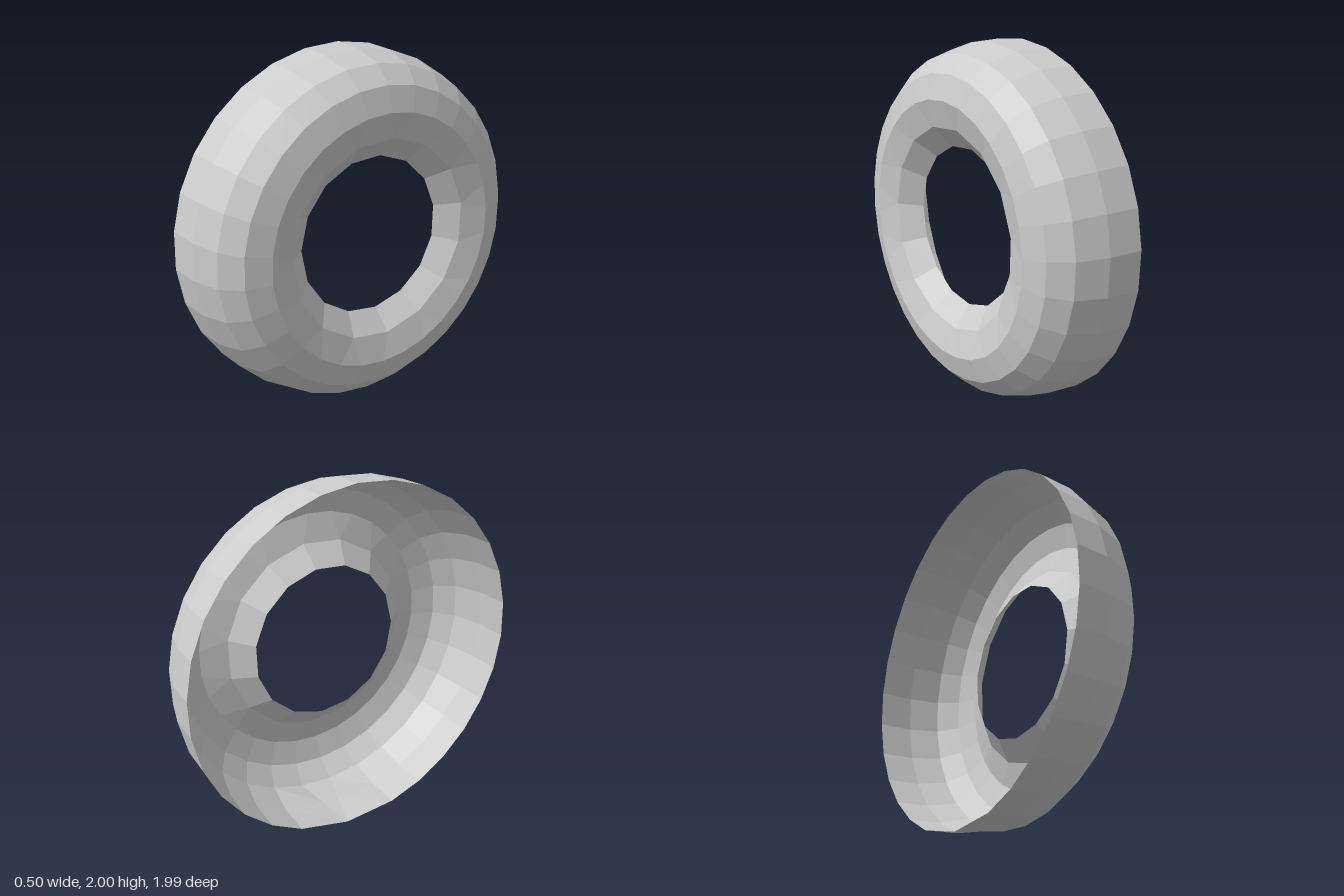
import * as THREE from 'three';

const COLS = 30, STEP = (Math.PI * 2) / COLS, PHASE = 0.03;
const DENT = 14; // the bottom column where two outer corners merge into one

// point on a ring around the x axis; k counts columns from the top
const ringPoint = ([x, r], k) => {
  const a = PHASE + k * STEP;
  return new THREE.Vector3(x, 1 + r * Math.cos(a), -r * Math.sin(a));
};

// flat-shaded band through rings of points, skipping collapsed triangles
function band(name, rows, pointAt) {
  const pos = [];
  const tri = (a, b, c) => {
    if (a.distanceTo(b) < 1e-6 || b.distanceTo(c) < 1e-6 || c.distanceTo(a) < 1e-6) return;
    for (const p of [a, b, c]) pos.push(p.x, p.y, p.z);
  };
  for (let i = 0; i < rows - 1; i++) {
    for (let k = 0; k < COLS; k++) {
      const n = (k + 1) % COLS;
      const a = pointAt(i, k), b = pointAt(i + 1, k), c = pointAt(i + 1, n), d = pointAt(i, n);
      tri(a, b, d);
      tri(b, c, d);
    }
  }
  const geo = new THREE.BufferGeometry();
  geo.setAttribute('position', new THREE.Float32BufferAttribute(pos, 3));
  geo.computeVertexNormals();
  const mesh = new THREE.Mesh(geo, new THREE.MeshStandardMaterial({
    color: 0xcccccc, flatShading: true, side: THREE.DoubleSide,
  }));
  mesh.name = name;
  return mesh;
}

export function createModel() {
  const group = new THREE.Group();
  group.name = 'halfRing';

  // outer shell, open on the -x side: [x, radius]
  const outer = [[-0.25, 1], [-0.06, 0.99], [0.11, 0.94], [0.21, 0.845], [0.25, 0.71]];
  const outerPoint = (i, k) => {
    if (i < 2 && (k === DENT || k === DENT + 1)) {
      const tip = ringPoint(outer[0], DENT + 0.5);
      // the second ring runs straight from the merged corner to the third ring
      return i === 0 ? tip : tip.lerp(ringPoint(outer[2], k), 0.53);
    }
    return ringPoint(outer[i], k);
  };
  group.add(band('outerShell', outer.length, outerPoint));

  // inner lip, half as many sides: pairs of columns meet at their middle
  const inner = [[0.25, 0.71], [0.205, 0.565], [0.10, 0.447]];
  const innerPoint = (i, k) => ringPoint(inner[i], i === 0 ? k : Math.floor(k / 2) * 2 + 0.5);
  group.add(band('innerLip', inner.length, innerPoint));

  return group;
}
